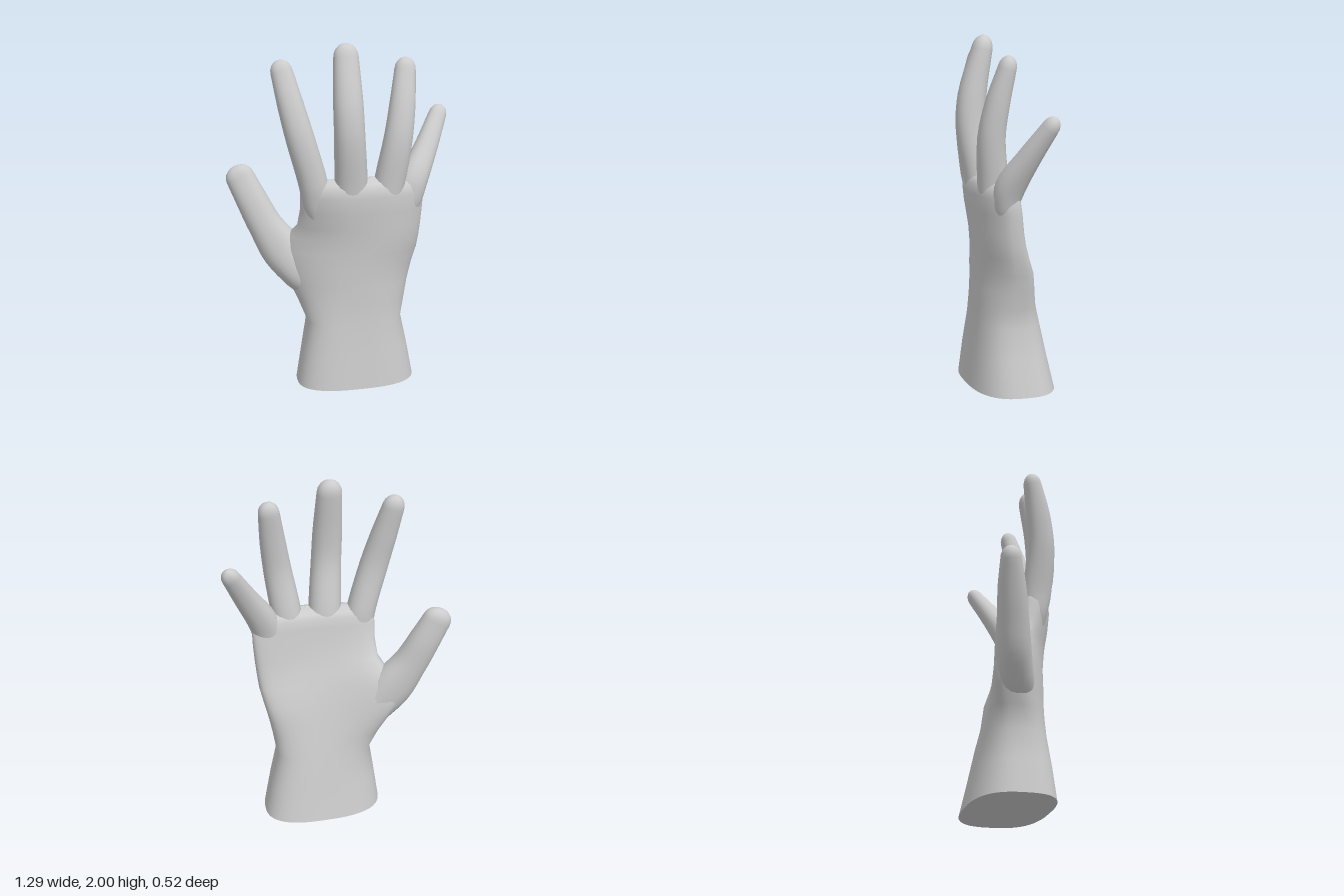
import * as THREE from 'three';

const SIDES = 24;

// Skin a stack of closed rings (counter-clockwise seen from the far end)
function loft(rings) {
  const n = rings[0].length, index = [];
  for (let i = 0; i < rings.length - 1; i++) {
    for (let j = 0; j < n; j++) {
      const k = (j + 1) % n;
      const a = i * n + j, b = i * n + k, c = a + n, d = b + n;
      index.push(a, b, d, a, d, c);
    }
  }
  const geo = new THREE.BufferGeometry().setFromPoints(rings.flat());
  geo.setIndex(index);
  geo.computeVertexNormals();
  return geo;
}

const softPow = (v, e) => Math.sign(v) * Math.abs(v) ** e;

// Rounded palm section: arch drops both edges backwards, shear twists it
function palmRing([y, x0, x1, zc, depth, arch, shear]) {
  const ring = [];
  for (let j = 0; j < SIDES * 2; j++) {
    const a = j / SIDES * Math.PI;
    const u = softPow(Math.sin(a), 0.74), v = softPow(Math.cos(a), 0.74);
    ring.push(new THREE.Vector3(
      (x0 + x1) / 2 + u * (x1 - x0) / 2, y,
      zc + depth * v - arch * u * u - shear * u));
  }
  return ring;
}

// Finger along stations [x, y, z, half width, half depth] with a domed tip
function fingerGeometry(stations, tip) {
  const path = new THREE.CatmullRomCurve3(stations.map(s => new THREE.Vector3(s[0], s[1], s[2])));
  const size = new THREE.CatmullRomCurve3(stations.map(s => new THREE.Vector3(s[3], s[4], 0)));
  const rings = [];
  const addRing = (t, angle) => {
    const T = path.getTangent(t), r = size.getPoint(t);
    const side = new THREE.Vector3().crossVectors(T, new THREE.Vector3(0, 0, 1)).normalize();
    const front = new THREE.Vector3().crossVectors(T, side);
    const centre = path.getPoint(t).addScaledVector(T, tip * Math.sin(angle));
    const k = Math.cos(angle), ring = [];
    for (let j = 0; j < SIDES; j++) {
      const a = j / SIDES * Math.PI * 2;
      ring.push(centre.clone()
        .addScaledVector(side, r.x * k * softPow(Math.cos(a), 0.9))
        .addScaledVector(front, r.y * k * softPow(Math.sin(a), 0.9)));
    }
    rings.push(ring);
  };
  for (let i = 0; i <= 20; i++) addRing(i / 20, 0);
  for (const deg of [20, 40, 58, 74, 89]) addRing(1, deg * Math.PI / 180);
  return loft(rings);
}

export function createModel() {
  const group = new THREE.Group();
  const skin = new THREE.MeshStandardMaterial({ color: 0xcccccc });
  const add = (name, geo) => {
    const mesh = new THREE.Mesh(geo, skin);
    mesh.name = name;
    group.add(mesh);
  };

  // Wrist, thumb mound, palm and knuckles:
  // y, x from, x to, z centre, half depth, arch, shear
  const palm = [
    [0, -0.26, 0.44, -0.01, 0.24, 0, 0.035],
    [0.2, -0.23, 0.4, 0.0, 0.21, 0, 0.025],
    [0.38, -0.2, 0.36, 0.008, 0.183, 0.01, 0.015],
    [0.5, -0.25, 0.38, 0.02, 0.167, 0.04, -0.005],
    [0.6, -0.3, 0.4, 0.03, 0.155, 0.075, -0.02],
    [0.7, -0.35, 0.425, 0.042, 0.142, 0.1, -0.03],
    [0.8, -0.355, 0.45, 0.057, 0.128, 0.1, -0.04],
    [0.88, -0.3, 0.46, 0.077, 0.117, 0.088, -0.025],
    [0.95, -0.25, 0.467, 0.092, 0.108, 0.07, 0],
    [1.05, -0.238, 0.475, 0.108, 0.102, 0.06, 0.018],
    [1.14, -0.24, 0.478, 0.118, 0.098, 0.055, 0.022],
    [1.19, -0.23, 0.45, 0.118, 0.09, 0.05, 0.022],
    [1.217, -0.2, 0.41, 0.118, 0.07, 0.045, 0.02],
    [1.234, -0.16, 0.36, 0.118, 0.04, 0.035, 0.02],
    [1.24, -0.1, 0.3, 0.118, 0.002, 0.02, 0.01],
  ].map(palmRing);
  add('palm', loft(palm));

  // Flat end of the wrist
  const outline = new THREE.Shape(palm[0].map(p => new THREE.Vector2(p.x, p.z)));
  add('wristEnd', new THREE.ShapeGeometry(outline).rotateX(Math.PI / 2));

  // Fingers start slim inside the palm and swell into the knuckles
  add('indexFinger', fingerGeometry([
    [-0.115, 0.98, 0.1, 0.06, 0.05],
    [-0.145, 1.1, 0.103, 0.083, 0.072],
    [-0.168, 1.22, 0.112, 0.083, 0.083],
    [-0.238, 1.47, 0.125, 0.081, 0.078],
    [-0.288, 1.66, 0.1, 0.074, 0.07],
    [-0.332, 1.84, 0.06, 0.062, 0.052],
  ], 0.07));
  add('middleFinger', fingerGeometry([
    [0.045, 0.98, 0.105, 0.07, 0.06],
    [0.045, 1.1, 0.118, 0.094, 0.087],
    [0.045, 1.22, 0.131, 0.094, 0.09],
    [0.031, 1.48, 0.175, 0.087, 0.085],
    [0.024, 1.66, 0.167, 0.084, 0.08],
    [0.019, 1.92, 0.108, 0.071, 0.058],
  ], 0.08));
  add('ringFinger', fingerGeometry([
    [0.235, 0.98, 0.09, 0.06, 0.06],
    [0.255, 1.1, 0.1, 0.085, 0.084],
    [0.272, 1.22, 0.108, 0.087, 0.085],
    [0.313, 1.46, 0.125, 0.081, 0.076],
    [0.34, 1.65, 0.098, 0.073, 0.067],
    [0.362, 1.84, 0.05, 0.06, 0.05],
  ], 0.07));
  add('littleFinger', fingerGeometry([
    [0.33, 0.96, 0.055, 0.05, 0.04],
    [0.375, 1.09, 0.064, 0.088, 0.07],
    [0.415, 1.2, 0.048, 0.086, 0.08],
    [0.505, 1.37, -0.03, 0.068, 0.063],
    [0.592, 1.545, -0.125, 0.052, 0.045],
  ], 0.065));

  // Thumb rising out of its mound
  add('thumb', fingerGeometry([
    [-0.12, 0.53, 0, 0.07, 0.07],
    [-0.22, 0.65, -0.03, 0.115, 0.11],
    [-0.325, 0.78, -0.055, 0.125, 0.1],
    [-0.425, 0.93, -0.075, 0.1, 0.087],
    [-0.5, 1.08, -0.095, 0.091, 0.077],
    [-0.565, 1.215, -0.112, 0.083, 0.057],
  ], 0.07));
  return group;
}
